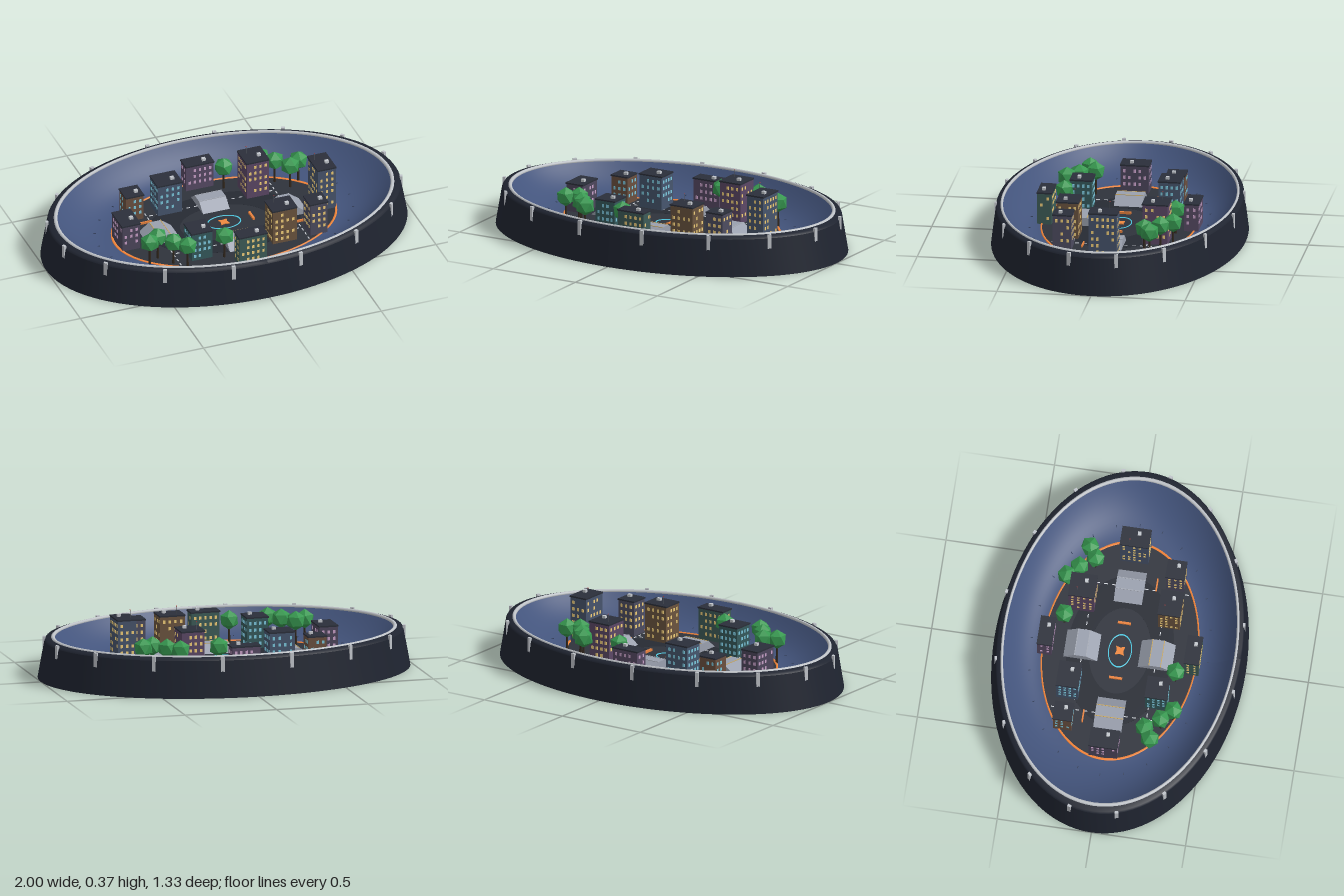
import * as THREE from 'three';
import { mergeGeometries } from 'three/addons/utils/BufferGeometryUtils.js';

const RATIO = 0.667; // depth of every oval relative to its width
const FLOOR = 0.07;

// Height of the curved bowl at a given radius
function bowlHeight(r) {
  return FLOOR + 0.14 * Math.pow(Math.max(0, r - 0.61) / 0.302, 2.1);
}

function mat(color, opts = {}) {
  return new THREE.MeshStandardMaterial({ color, ...opts });
}

function add(parent, name, geometry, color, opts) {
  const mesh = new THREE.Mesh(geometry, mat(color, opts));
  mesh.name = name;
  parent.add(mesh);
  return mesh;
}

function box(w, h, d, x, y, z, turn = 0) {
  return new THREE.BoxGeometry(w, h, d).rotateY(turn).translate(x, y, z);
}

// Oval shell turned from a radius/height profile
function oval(parent, name, profile, color) {
  const pts = profile.map(([r, y]) => new THREE.Vector2(r, y));
  const geo = new THREE.LatheGeometry(pts, 96);
  geo.scale(1, 1, RATIO);
  geo.computeVertexNormals();
  return add(parent, name, geo, color, { side: THREE.DoubleSide });
}

function ovalRing(parent, name, inner, outer, y0, y1, color) {
  return oval(parent, name, [[inner, y0], [outer, y0], [outer, y1], [inner, y1], [inner, y0]], color);
}

function seeded(seed) {
  let s = seed;
  return () => ((s = (s * 16807) % 2147483647) / 2147483647);
}

function makeBuilding(x, z, w, d, top, wall, glass, antenna, seed) {
  const g = new THREE.Group();
  g.name = 'building';
  g.position.set(x, 0, z);
  const base = FLOOR - 0.012;
  add(g, 'buildingWalls', box(w, top - base - 0.006, d, 0, (top - 0.006 + base) / 2, 0), wall);
  add(g, 'roofSlab', box(w + 0.006, 0.008, d + 0.006, 0, top - 0.004, 0), 0x2b2f3a);
  add(g, 'roofUnit', box(0.02, 0.014, 0.018, w * 0.2, top + 0.007, d * 0.12), 0xc4c8ce);
  if (antenna) {
    add(g, 'antenna', new THREE.CylinderGeometry(0.0012, 0.0012, 0.042, 5)
      .translate(-0.03, top + 0.021, -0.027), 0x555a62);
    add(g, 'antennaTip', new THREE.SphereGeometry(0.003, 6, 4)
      .translate(-0.03, top + 0.042, -0.027), 0xc04040);
  }
  // Lit windows on all four sides
  const rand = seeded(seed);
  const panes = [];
  const rows = Math.floor((top - FLOOR - 0.02) / 0.036);
  for (let side = 0; side < 4; side++) {
    const width = side % 2 ? d : w;
    const out = (side % 2 ? w : d) / 2;
    const cols = Math.max(2, Math.round(width / 0.031));
    for (let r = 0; r < rows; r++) {
      for (let c = 0; c < cols; c++) {
        if (rand() < 0.22) continue;
        const px = ((c + 0.5) / cols - 0.5) * width * 0.92;
        panes.push(box(0.013, 0.017, 0.003, px, top - 0.034 - r * 0.036, out)
          .rotateY(side * Math.PI / 2));
      }
    }
  }
  add(g, 'windows', mergeGeometries(panes), glass);
  return g;
}

// Ramp up, flat top, ramp down, running along x
function makeRamp(x, z, turn, trim) {
  const g = new THREE.Group();
  g.name = 'rampPlatform';
  const s = new THREE.Shape();
  s.moveTo(-0.09, 0.001);
  s.lineTo(0.09, 0.001);
  s.lineTo(0.032, 0.045);
  s.lineTo(-0.032, 0.045);
  s.closePath();
  const geo = new THREE.ExtrudeGeometry(s, { depth: 0.15, bevelEnabled: false });
  add(g, 'rampBody', geo.translate(0, 0, -0.075), 0x9aa0ae, { flatShading: true });
  const edges = [-1, 1].map((k) => box(0.004, 0.003, 0.15, k * 0.031, 0.0455, 0));
  add(g, 'rampTrim', mergeGeometries(edges), trim);
  g.position.set(x, FLOOR, z);
  g.rotation.y = turn;
  return g;
}

// Faceted crown with a vertex pointing straight up, on a thin trunk
function makeTree(x, z, turn) {
  const g = new THREE.Group();
  g.name = 'tree';
  add(g, 'trunk', new THREE.CylinderGeometry(0.005, 0.007, 0.1, 6).translate(0, FLOOR + 0.05, 0), 0x33291f);
  const crown = new THREE.IcosahedronGeometry(0.053, 0);
  crown.rotateZ(Math.atan(2 / (1 + Math.sqrt(5)))).translate(0, 0.201, 0);
  add(g, 'crown', crown, 0x379850, { flatShading: true });
  g.position.set(x, 0, z);
  g.rotation.y = turn;
  return g;
}

export function createModel() {
  const model = new THREE.Group();
  model.name = 'cityArena';

  // Outer wall, ledge, round rim rail and curved bowl
  oval(model, 'outerWall', [[1, 0], [0.964, 0.197]], 0x1f2430);
  oval(model, 'wallLedge', [[0.964, 0.197], [0.956, 0.209], [0.924, 0.213]], 0x1f2430);
  const rail = [];
  for (let i = 0; i <= 10; i++) {
    const a = i * Math.PI / 5;
    rail.push([0.918 + 0.011 * Math.cos(a), 0.21 + 0.01 * Math.sin(a)]);
  }
  oval(model, 'rimRail', rail, 0xbfc3c8);
  const slope = [];
  for (let i = 0; i <= 12; i++) {
    const r = 0.61 + 0.302 * i / 12;
    slope.push([r, bowlHeight(r)]);
  }
  oval(model, 'bowlSlope', slope, 0x43547c);

  // Upright posts around the wall, square to the oval
  const posts = [];
  for (let i = 0; i < 16; i++) {
    const a = (i + 0.5) * Math.PI / 8;
    const facing = -Math.atan2(Math.sin(a) / RATIO, Math.cos(a));
    posts.push(box(0.014, 0.213, 0.02, 0.966 * Math.cos(a), 0.1115, 0.643 * Math.sin(a), facing));
  }
  add(model, 'wallPosts', mergeGeometries(posts), 0xc0c4ca);

  // Arena floor with tone band and glowing rings
  oval(model, 'floor', [[0, FLOOR], [0.612, FLOOR]], 0x2f333c);
  ovalRing(model, 'floorBand', 0.24, 0.42, FLOOR, FLOOR + 0.001, 0x262a33);
  ovalRing(model, 'edgeRing', 0.605, 0.617, FLOOR - 0.003, FLOOR + 0.005, 0xff8a3c);
  ovalRing(model, 'centreRing', 0.087, 0.094, FLOOR, FLOOR + 0.003, 0x50d0ea);

  // Four-pointed centre star
  const star = new THREE.Shape();
  for (let i = 0; i < 8; i++) {
    const r = i % 2 ? 0.018 : 0.034;
    const a = Math.PI / 4 + i * Math.PI / 4;
    star[i ? 'lineTo' : 'moveTo'](r * Math.cos(a), r * Math.sin(a));
  }
  star.closePath();
  add(model, 'centreStar', new THREE.ExtrudeGeometry(star, { depth: 0.008, bevelEnabled: false })
    .rotateX(-Math.PI / 2).translate(0, FLOOR - 0.003, 0), 0xf08a40);

  // Dashed lane lines
  const dashes = [];
  for (const k of [-1, 1]) {
    for (let i = -8; i <= 8; i++) {
      dashes.push(box(0.02, 0.004, 0.005, i * 0.042, FLOOR + 0.001, k * 0.195));
      if (Math.abs(i) < 8) dashes.push(box(0.005, 0.004, 0.02, k * 0.36, FLOOR + 0.001, i * 0.043));
    }
  }
  add(model, 'laneDashes', mergeGeometries(dashes), 0xd4d8de);

  // Orange barriers
  const bars = [];
  for (const k of [-1, 1]) {
    bars.push(box(0.012, 0.016, 0.07, k * 0.155, FLOOR + 0.004, 0));
    bars.push(box(0.07, 0.016, 0.008, k * 0.39, FLOOR + 0.004, k * 0.137));
  }
  add(model, 'barriers', mergeGeometries(bars), 0xe8823e);

  // Small marks on the slope
  const marks = [];
  for (let i = 0; i < 24; i++) {
    const a = i * Math.PI / 12;
    marks.push(box(0.014, 0.003, 0.004, 0.705 * Math.cos(a), bowlHeight(0.705) + 0.001, 0.47 * Math.sin(a), -a));
  }
  add(model, 'slopeMarks', mergeGeometries(marks), 0x35425f);

  // Ramps facing the centre
  model.add(makeRamp(-0.36, 0, 0, 0xc9a860), makeRamp(0.36, 0, 0, 0xa8adb8));
  model.add(makeRamp(0, -0.2, Math.PI / 2, 0xa8adb8), makeRamp(0, 0.195, Math.PI / 2, 0xc9a860));

  // Buildings: x, z, width, depth, top, wall, windows, antenna
  const yellow = 0xf2cf7a, cyan = 0x7cc8de, pink = 0xc8a0c8;
  [
    [0, -0.39, 0.155, 0.076, 0.222, 0x574a64, pink, false],
    [0, 0.39, 0.155, 0.076, 0.245, 0x3d5c58, yellow, false],
    [-0.55, 0, 0.1, 0.15, 0.225, 0x4c465c, pink, false],
    [0.55, 0, 0.1, 0.15, 0.322, 0x47546c, yellow, true],
    [-0.43, -0.235, 0.098, 0.098, 0.22, 0x6b5040, cyan, false],
    [-0.235, -0.235, 0.135, 0.115, 0.256, 0x46566e, cyan, false],
    [0.255, -0.235, 0.125, 0.135, 0.291, 0x5c4866, yellow, true],
    [-0.235, 0.235, 0.115, 0.115, 0.238, 0x35595c, cyan, false],
    [0.23, 0.235, 0.135, 0.115, 0.274, 0x6b543f, yellow, true],
    [0.425, 0.235, 0.098, 0.098, 0.262, 0x4d4c60, yellow, false],
  ].forEach((b, i) => model.add(makeBuilding(...b, 101 + i * 977)));

  // Trees in two opposite clusters
  [[0.118, -0.313], [0.333, -0.333], [0.39, -0.275], [0.448, -0.198], [0.508, -0.235]].forEach(([x, z], i) => {
    model.add(makeTree(x, z, i), makeTree(-x, -z, i + 0.5));
  });

  return model;
}
